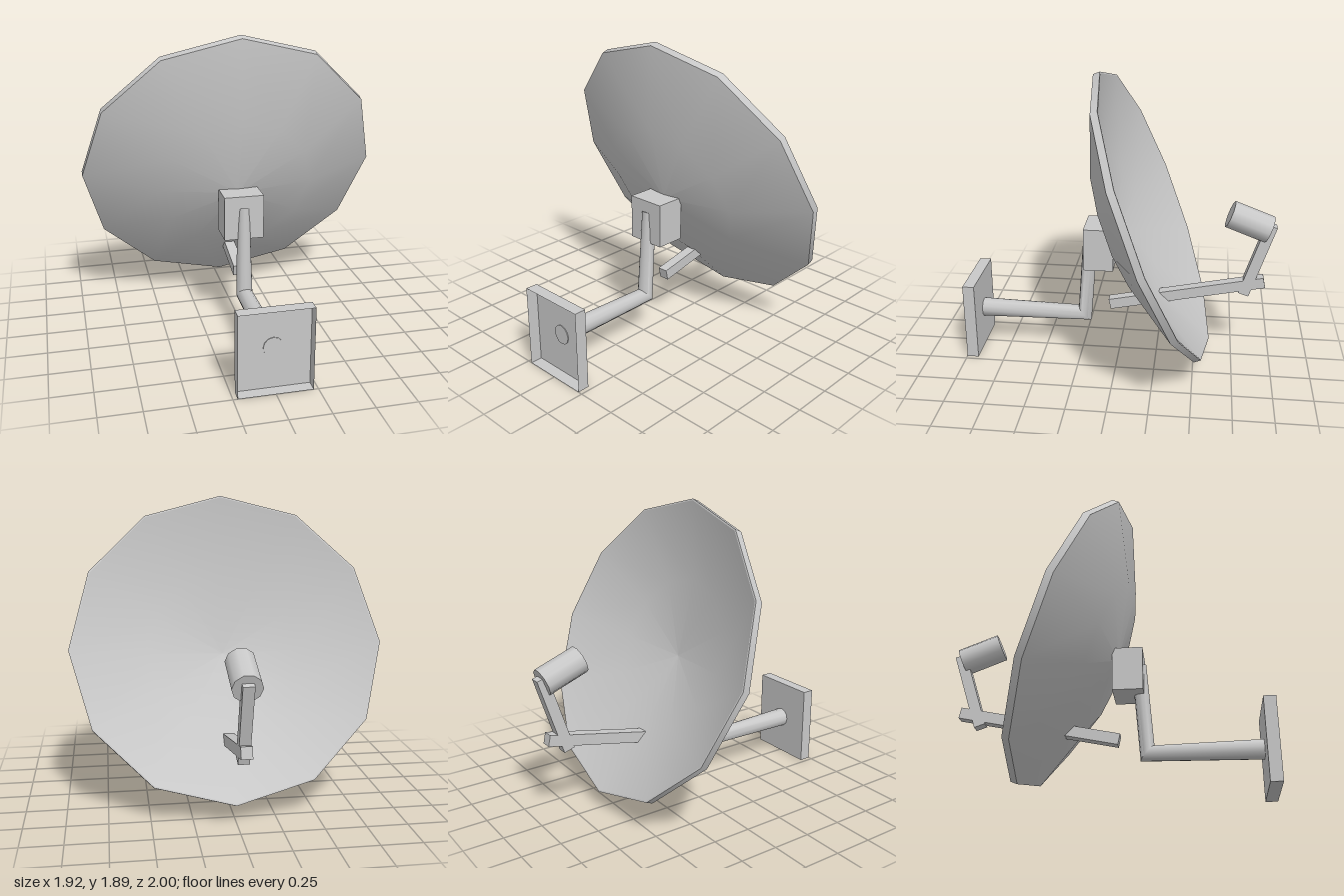
import * as THREE from 'three';
import { toCreasedNormals } from 'three/addons/utils/BufferGeometryUtils.js';

export function createModel() {
  const model = new THREE.Group();
  const grey = new THREE.MeshStandardMaterial({ color: 0xc8c8c8, side: THREE.DoubleSide });
  grey.name = 'painted metal grey';

  const add = (name, geometry, parent = model) => {
    const mesh = new THREE.Mesh(geometry, grey);
    mesh.name = name;
    parent.add(mesh);
    return mesh;
  };
  // Places a part so that its z axis runs between two points of the x = 0 plane, given as [y, z]
  const between = (mesh, a, b) => {
    const from = new THREE.Vector3(0, ...a), to = new THREE.Vector3(0, ...b);
    mesh.position.copy(from).add(to).multiplyScalar(0.5);
    mesh.quaternion.setFromUnitVectors(new THREE.Vector3(0, 0, 1), to.sub(from).normalize());
  };
  const span = (a, b) => Math.hypot(b[0] - a[0], b[1] - a[1]);

  // Dish: twelve-sided back shell, lip and inner bowl, tilted upwards
  const dish = new THREE.Group();
  dish.name = 'dish';
  dish.position.set(0, 1, -0.24);
  dish.rotation.x = -1.1864;
  model.add(dish);
  const profiles = {
    dishBack: [[0, -0.32], [0.49, -0.25], [0.96, -0.045]],
    dishLip: [[0.96, -0.045], [0.96, 0]],
    dishRim: [[0.96, 0], [0.95, 0]],
    dishBowl: [[0.95, 0], [0.49, -0.2], [0, -0.27]],
  };
  for (const [name, points] of Object.entries(profiles)) {
    add(name, new THREE.LatheGeometry(points.map(p => new THREE.Vector2(...p)), 12), dish);
  }

  // Wall plate: a shallow tray, open towards the front
  const tray = new THREE.BoxGeometry(0.445, 0.515, 0.075);
  const faces = Array.from(tray.index.array);
  faces.splice(24, 6);
  tray.setIndex(faces);
  tray.clearGroups();
  add('wallPlate', tray).position.set(0, 0.2575, 0.9625);

  // Bent pole: oval sections [centre y, z], half width in x, half height vector [y, z]
  const sections = [
    [[0.26, 0.93], 0.06, [0.062, 0]],
    [[0.258, 0.232], 0.052, [0.0475, 0.0425]],
    [[0.82, 0.19], 0.04, [0.02, 0.045]],
  ];
  const sides = 12, vertices = [], index = [];
  sections.forEach(([c, w, v], i) => {
    for (let j = 0; j < sides; j++) {
      const t = (j / sides) * Math.PI * 2, s = Math.sin(t);
      vertices.push(w * Math.cos(t), c[0] + v[0] * s, c[1] + v[1] * s);
      if (i === sections.length - 1) continue;
      const a = i * sides + j, b = i * sides + (j + 1) % sides;
      index.push(a, a + sides, b, b, a + sides, b + sides);
    }
  });
  const last = (sections.length - 1) * sides;
  for (let j = 1; j < sides - 1; j++) {
    index.push(0, j, j + 1, last, last + j + 1, last + j);
  }
  const pole = new THREE.BufferGeometry();
  pole.setAttribute('position', new THREE.Float32BufferAttribute(vertices, 3));
  pole.setIndex(index);
  add('bentPole', toCreasedNormals(pole, 0.9));

  // Bracket joining pole and dish
  add('dishBracket', new THREE.BoxGeometry(0.25, 0.28, 0.19)).position.set(0, 0.77, 0.125);

  // Feed arm and the upright at its end
  const bars = {
    feedArm: [[0.555, -0.9375], [0.345, 0.0625]],
    feedUpright: [[0.9475, -0.9625], [0.465, -0.8075]],
  };
  for (const [name, [a, b]] of Object.entries(bars)) {
    between(add(name, new THREE.BoxGeometry(0.067, 0.07, span(a, b))), a, b);
  }

  // Receiver drum pointing back at the dish
  const back = [0.915, -0.95], mouth = [1.01, -0.7];
  const drum = new THREE.CylinderGeometry(0.088, 0.088, span(back, mouth), 10, 1, false, Math.PI / 2);
  drum.rotateX(Math.PI / 2);
  between(add('receiver', drum), back, mouth);

  return model;
}
